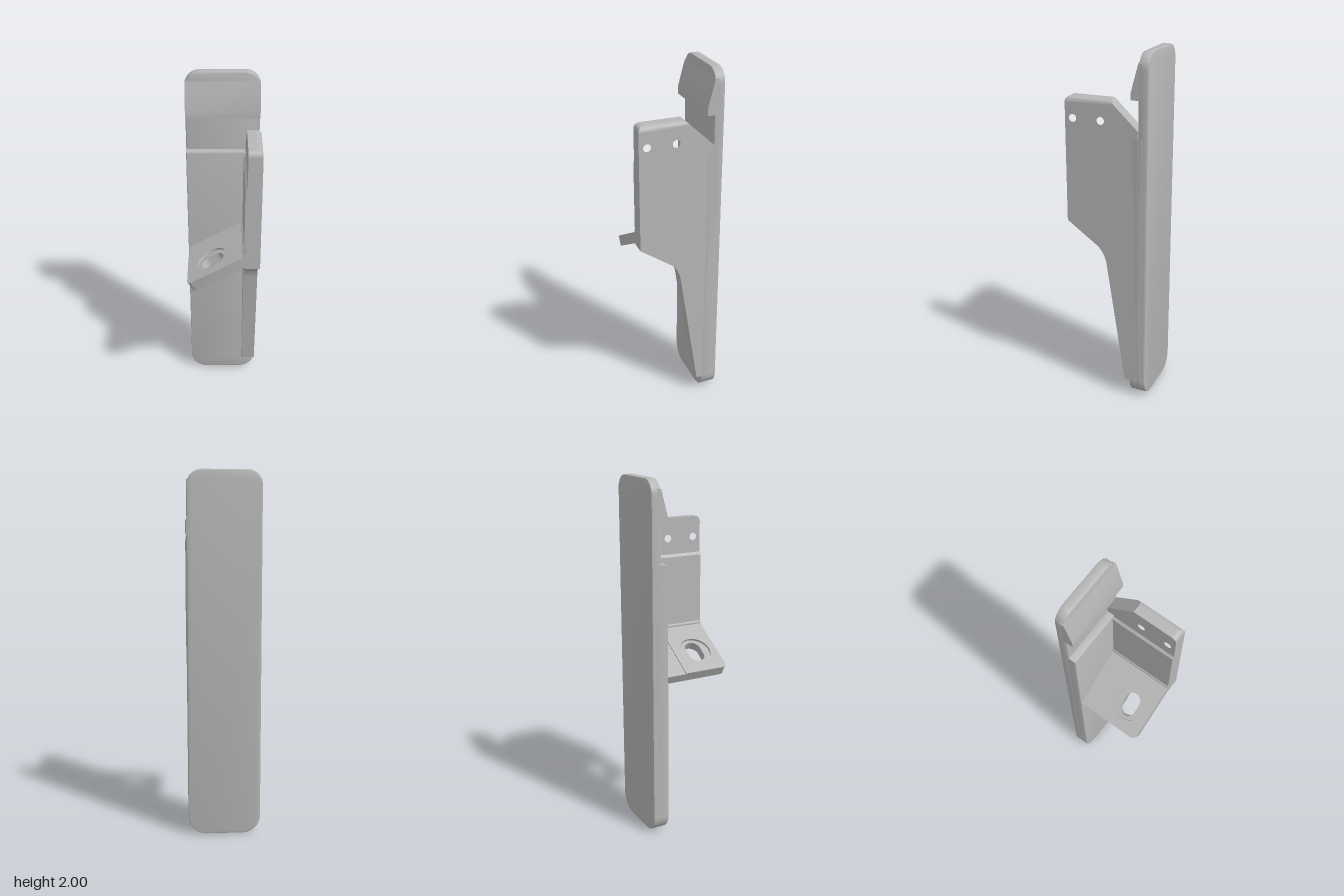
import * as THREE from 'three';
import { toCreasedNormals } from 'three/addons/utils/BufferGeometryUtils.js';

const grey = new THREE.MeshStandardMaterial({ color: 0xb6b6b6 });
grey.name = 'plain grey';

function part(name, geometry, parent) {
  const mesh = new THREE.Mesh(toCreasedNormals(geometry, 0.5), grey);
  mesh.name = name;
  parent.add(mesh);
  return mesh;
}

// Rectangle with its own radius at each corner: bottom left, bottom right, top right, top left
function roundedRect(x0, y0, x1, y1, [bl, br, tr, tl]) {
  const s = new THREE.Shape();
  s.moveTo(x0 + bl, y0);
  s.lineTo(x1 - br, y0);
  if (br) s.absarc(x1 - br, y0 + br, br, -Math.PI / 2, 0);
  s.lineTo(x1, y1 - tr);
  if (tr) s.absarc(x1 - tr, y1 - tr, tr, 0, Math.PI / 2);
  s.lineTo(x0 + tl, y1);
  if (tl) s.absarc(x0 + tl, y1 - tl, tl, Math.PI / 2, Math.PI);
  s.lineTo(x0, y0 + bl);
  if (bl) s.absarc(x0 + bl, y0 + bl, bl, Math.PI, Math.PI * 1.5);
  return s;
}

// Upright slab from z0 to z1 with a narrow bevel all round
function slab(shape, z0, z1, b) {
  return new THREE.ExtrudeGeometry(shape, {
    depth: z1 - z0 - 2 * b, bevelEnabled: true, bevelSize: b, bevelThickness: b,
    bevelOffset: -b, bevelSegments: 2, curveSegments: 12,
  }).translate(0, 0, z0 + b);
}

// Side profile (x holds -z, y is height) extruded across from x0 to x1
function across(shape, x0, x1, steps = 1) {
  return new THREE.ExtrudeGeometry(shape, { depth: x1 - x0, steps, bevelEnabled: false, curveSegments: 16 })
    .rotateY(Math.PI / 2).translate(x0, 0, 0);
}

function polygon(points) {
  return new THREE.Shape(points.map(([z, y]) => new THREE.Vector2(-z, y)));
}

function circle(x, y, r) {
  return new THREE.Path().absarc(x, y, r, 0, Math.PI * 2, true);
}

export function createModel() {
  const model = new THREE.Group();
  model.name = 'wallHolder';

  // Back plate, thicker lower body and top hook
  part('backPlate', slab(roundedRect(-0.2, 0, 0.2, 2, [0.1, 0.1, 0.08, 0.08]), -0.235, -0.18, 0.008), model);
  part('lowerBody', slab(roundedRect(-0.2, 0, 0.2, 1.56, [0.1, 0.1, 0, 0]), -0.215, -0.14, 0.006), model);
  part('topHook', across(polygon([[-0.2, 1.76], [-0.14, 1.76], [-0.14, 1.8], [-0.18, 1.95], [-0.2, 1.95]]), -0.2, 0.2), model);

  // Side fin
  const fin = new THREE.Shape();
  fin.moveTo(0.18, 0.1);
  fin.lineTo(0.11, 0.1);
  fin.lineTo(0, 0.82);
  fin.quadraticCurveTo(-0.01, 0.88, -0.05, 0.92);
  fin.lineTo(-0.235, 1.05);
  fin.lineTo(-0.235, 1.715);
  fin.quadraticCurveTo(-0.235, 1.75, -0.2, 1.75);
  fin.lineTo(0.02, 1.75);
  fin.lineTo(0.18, 1.6);
  fin.closePath();
  fin.holes.push(circle(-0.19, 1.635, 0.021), circle(-0.03, 1.635, 0.021));
  const finGeometry = across(fin, 0.125, 0.2, 15);
  // Round the outer top edge of the fin
  const p = finGeometry.attributes.position;
  for (let i = 0; i < p.count; i++) {
    const t = Math.min(1, Math.max(0, (p.getX(i) - 0.17) / 0.03));
    const drop = 0.025 * (1 - Math.sqrt(1 - t * t));
    if (p.getY(i) > 1.75 - drop) {
      if (p.getZ(i) < 0) p.setZ(i, p.getZ(i) - drop * 1.07);
      p.setY(i, 1.75 - drop);
    }
  }
  part('sideFin', finGeometry, model);

  // Thicker inner face of the fin, and the narrow strip below it
  const pad = new THREE.Shape([[0.113, 1.06], [0.13, 1.06], [0.13, 1.55], [0.125, 1.545], [0.113, 1.53]]
    .map(([x, y]) => new THREE.Vector2(x, y)));
  part('finPad', new THREE.ExtrudeGeometry(pad, { depth: 0.38, bevelEnabled: false }).translate(0, 0, -0.145), model);
  const strip = polygon([[-0.18, 0.1], [-0.11, 0.1], [0, 0.82], [0.01, 0.88], [0.05, 0.92], [0.235, 1.05], [0.235, 1.07], [-0.18, 1.07]]);
  part('finStrip', across(strip, 0.119, 0.126), model);

  // Tilted flap: local x runs up the slope, local y towards the back, local z out of its top
  const flap = new THREE.Group();
  flap.name = 'flap';
  flap.position.set(-0.198, 0.945, 0);
  flap.rotation.set(-Math.PI / 2, Math.PI / 6, 0, 'ZYX');
  flap.rotation.set(-Math.PI / 2, 0, Math.PI / 6, 'ZYX');
  model.add(flap);
  const layer = (name, hole, z0, depth) => {
    const s = roundedRect(0, -0.235, 0.375, 0.028, [0.03, 0, 0, 0]);
    s.holes.push(hole);
    part(name, new THREE.ExtrudeGeometry(s, { depth, bevelEnabled: false, curveSegments: 24 }).translate(0, 0, z0), flap);
  };
  const slot = new THREE.Path();
  slot.absarc(0.13, -0.103, 0.046, Math.PI / 2, Math.PI * 1.5, false);
  slot.absarc(0.178, -0.103, 0.046, -Math.PI / 2, Math.PI / 2, false);
  slot.closePath();
  layer('flapBase', slot, -0.06, 0.048);
  layer('flapRim', circle(0.154, -0.103, 0.09), -0.012, 0.012);
  part('flapRear', new THREE.BoxGeometry(0.375, 0.117, 0.054).translate(0.1875, 0.0865, -0.033), flap);

  // Hinge pin
  const pin = new THREE.CylinderGeometry(0.014, 0.014, 0.376, 16).rotateX(Math.PI / 2);
  part('hingePin', pin.translate(0.12, 1.127, 0.048), model);

  return model;
}
